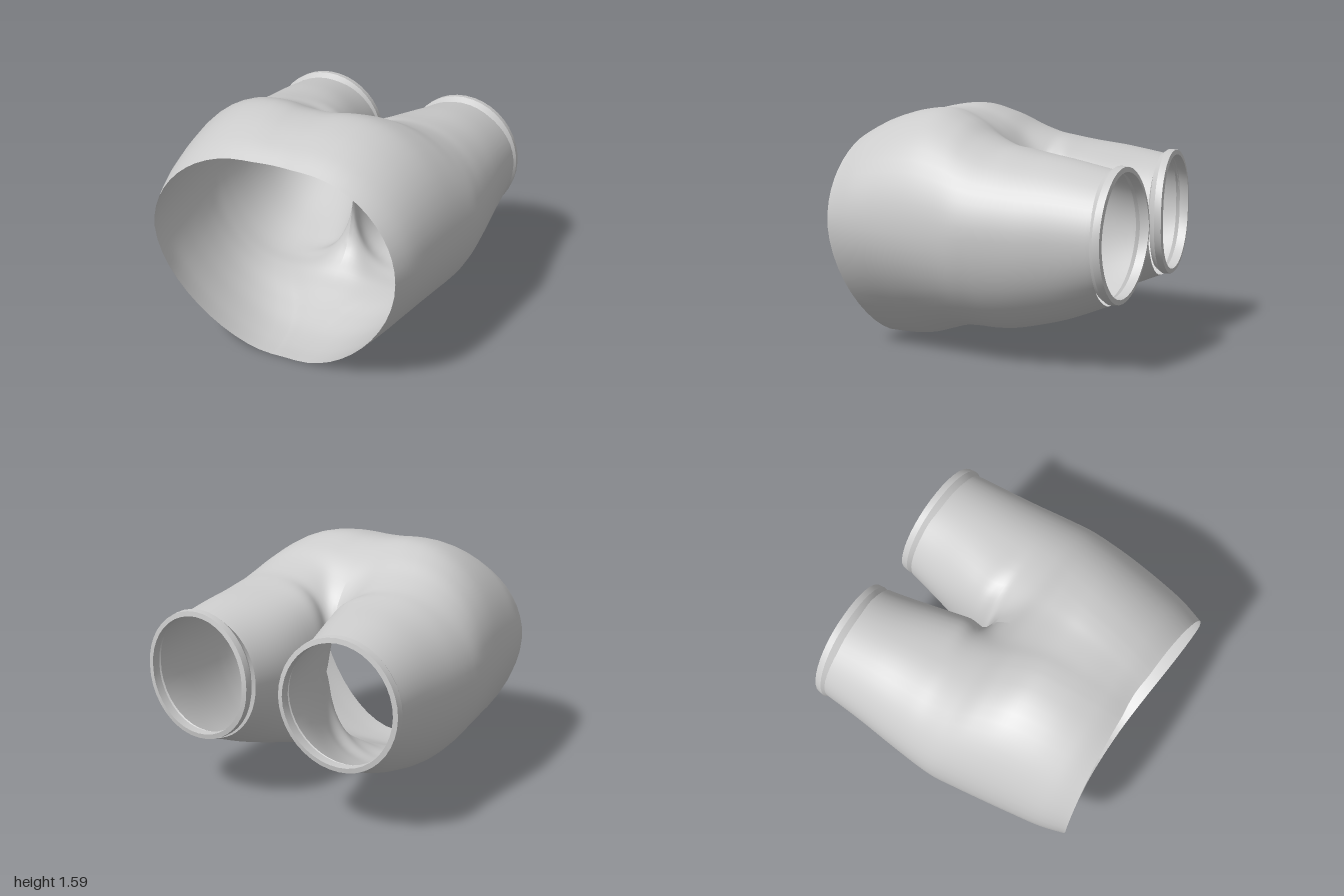
import * as THREE from 'three';
import { mergeGeometries, mergeVertices, toCreasedNormals } from 'three/addons/utils/BufferGeometryUtils.js';

// One row per section of the left half, from the waist to the leg end:
// z | top x,y | outer x,y | bottom x,y | seam x | upper seam y,z | lower seam y,z | seam steepness
const trunkRows = [
  [0.99, 0.20, 1.44, 0.845, 0.86, 0.09, 0.015, 0, 1.44, 0.93, 0.015, 0.98, 0],
  [0.82, 0.22, 1.515, 0.895, 0.86, 0.10, 0.018, 0, 1.51, 0.80, 0.016, 0.82, 0],
  [0.60, 0.25, 1.58, 0.93, 0.86, 0.13, 0.045, 0, 1.57, 0.60, 0.042, 0.60, 0],
  [0.38, 0.28, 1.60, 0.96, 0.86, 0.20, 0.105, 0, 1.58, 0.38, 0.10, 0.38, 0],
  [0.18, 0.34, 1.54, 0.985, 0.86, 0.32, 0.17, 0, 1.51, 0.19, 0.17, 0.19, 0],
];
const legRows = [
  [0.03, 0.41, 1.455, 1.00, 0.86, 0.41, 0.20, 0, 1.39, 0.03, 0.25, 0.03, 0.1],
  [-0.10, 0.45, 1.40, 0.995, 0.86, 0.45, 0.205, 0, 1.18, -0.13, 0.41, -0.13, 0.5],
  [-0.22, 0.47, 1.375, 0.985, 0.86, 0.47, 0.22, 0.002, 0.8, -0.25, 0.8, -0.25, 1],
  [-0.38, 0.48, 1.35, 0.97, 0.86, 0.49, 0.255, 0.016, 0.82, -0.38, 0.82, -0.38, 1],
  [-0.60, 0.50, 1.32, 0.95, 0.87, 0.51, 0.32, 0.053, 0.85, -0.60, 0.85, -0.60, 1],
  [-0.86, 0.52, 1.27, 0.935, 0.87, 0.53, 0.43, 0.11, 0.87, -0.89, 0.87, -0.89, 1],
];

// Cuff profile: [z offset, growth of the leg opening]
const cuffProfile = [[0.03, -0.012], [-0.01, 0.015], [-0.055, 0.01], [-0.06, -0.022], [0, -0.024]];
const cuffRows = cuffProfile.map(([dz, g]) => [
  -0.87 + dz, 0.53, 1.287 + g, 0.933 + g, 0.87, 0.54, 0.455 - g,
  0.13 - g, 0.87, -0.92 + dz, 0.87, -0.92 + dz, 1,
]);

const mix = THREE.MathUtils.lerp;
const smooth = THREE.MathUtils.smoothstep;

function catmull(a, b, c, d, t) {
  return b + 0.5 * t * (c - a + t * (2 * a - 5 * b + 4 * c - d + t * (3 * (b - c) + d - a)));
}

// Samples one section as four curves: seam - top - outer - bottom - seam
function section(row, steps) {
  const [z, tx, ty, ox, oy, bx, by, sx, uy, uz, ly, lz, steep] = row;
  const V = (x, y, zz) => new THREE.Vector3(x, y, zz);
  const U = V(sx, uy, uz), L = V(sx, ly, lz);
  const T = V(tx, ty, mix(uz, z, Math.min(1, tx / 0.8)));
  const B = V(bx, by, mix(lz, z, Math.min(1, bx / 0.8)));
  const O = V(ox, oy, z);
  const k = 0.55, kb = mix(0.55, 0.45, smooth(z, 0, 0.8));
  // The inner wall is flatter close to the crotch
  const ks = mix(0.55, 0.75, steep * smooth(z, -0.8, -0.25));
  const seamHandle = (s, p) => V(s.x + k * (p.x - s.x) * (1 - steep), s.y + ks * (p.y - s.y) * steep, mix(s.z, p.z, 0.2));
  const flatHandle = (p, q, f) => V(mix(p.x, q.x, f), p.y, mix(p.z, q.z, 0.3));
  const sideHandle = (q, f) => V(O.x, mix(O.y, q.y, f), mix(O.z, q.z, 0.3));
  const curves = [
    [U, seamHandle(U, T), flatHandle(T, U, ks), T],
    [T, flatHandle(T, O, k), sideHandle(T, k), O],
    [O, sideHandle(B, kb), flatHandle(B, O, kb), B],
    [B, flatHandle(B, L, ks), seamHandle(L, B), L],
  ].map((p) => new THREE.CubicBezierCurve3(...p));
  const points = [U];
  for (const c of curves) points.push(...c.getPoints(steps).slice(1));
  // The waist edge leans back towards its lower side
  for (const p of points) p.z -= 0.11 * smooth(p.z, 0.1, 0.95) * (1.15 - p.y) ** 2;
  return points;
}

// Lofts the rows into a skin; side is 1 for the left half, -1 for the right
function loft(rows, side, sub, steps) {
  const sections = [];
  const last = rows.length - 1;
  for (let i = 0; i <= last * sub; i++) {
    const s = Math.min(Math.floor(i / sub), last - 1), t = i / sub - s;
    const at = (n) => rows[THREE.MathUtils.clamp(n, 0, last)];
    sections.push(section(rows[0].map((_, c) =>
      catmull(at(s - 1)[c], at(s)[c], at(s + 1)[c], at(s + 2)[c], t)), steps));
  }
  const n = sections[0].length, index = [];
  const positions = sections.flatMap((s) => s.flatMap((p) => [p.x * side, p.y, p.z]));
  for (let v = 0; v < sections.length - 1; v++) {
    for (let u = 0; u < n - 1; u++) {
      const a = v * n + u, b = a + 1, c = a + n, d = c + 1;
      if (side > 0) index.push(a, b, c, b, d, c);
      else index.push(a, c, b, b, c, d);
    }
  }
  const g = new THREE.BufferGeometry();
  g.setAttribute('position', new THREE.Float32BufferAttribute(positions, 3));
  g.setIndex(index);
  return g;
}

export function createModel() {
  const group = new THREE.Group();
  group.name = 'shorts';
  const material = new THREE.MeshStandardMaterial({ color: 0xcccccc, side: THREE.DoubleSide });
  const add = (name, geometry) => {
    const mesh = new THREE.Mesh(geometry, material);
    mesh.name = name;
    group.add(mesh);
  };

  // Trunk and both legs as one welded skin
  const rows = [...trunkRows, ...legRows];
  const skin = mergeVertices(mergeGeometries([1, -1].map((side) => loft(rows, side, 6, 12))), 1e-4);
  skin.computeVertexNormals();
  add('shortsBody', skin);

  // Folded hems around the leg openings
  for (const side of [1, -1]) {
    const cuff = mergeVertices(loft(cuffRows, side, 1, 10), 1e-4);
    add(side > 0 ? 'leftCuff' : 'rightCuff', toCreasedNormals(cuff, 0.6));
  }
  return group;
}
